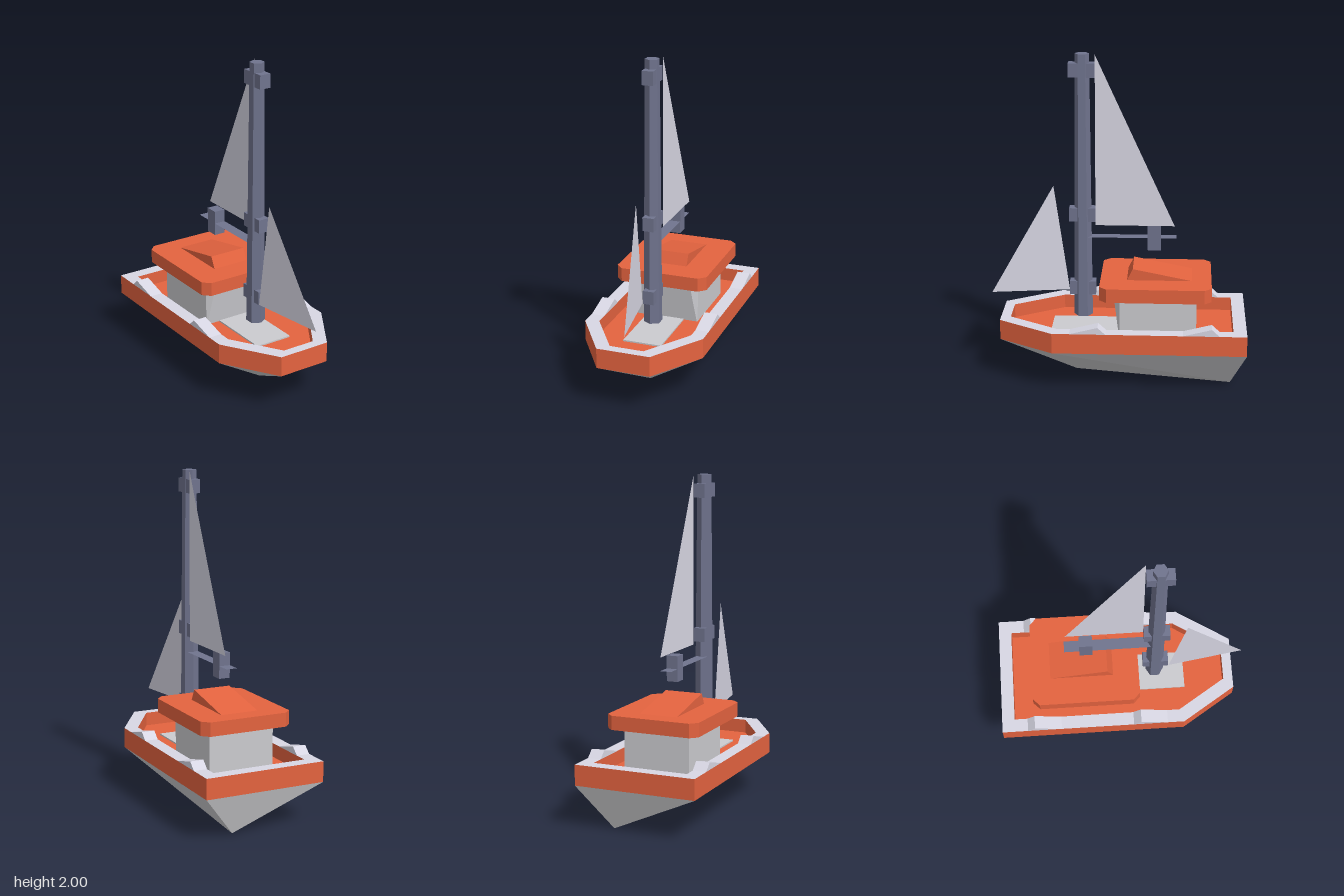
import * as THREE from 'three';
import { ConvexGeometry } from 'three/addons/geometries/ConvexGeometry.js';

const mat = (name, color) => new THREE.MeshStandardMaterial({ name, color, flatShading: true });

// Outline given as [x, z] pairs; z is negated so the extrusion can be laid flat.
const plan = (pts) => new THREE.Shape(pts.map(([x, z]) => new THREE.Vector2(x, -z)));

// Right half of an outline, mirrored into a full closed one.
const mirror = (half) => [...half, ...half.map(([x, z]) => [-x, z]).reverse()];

// Slab standing on y0.
function slab(shape, y0, y1) {
  const g = new THREE.ExtrudeGeometry(shape, { depth: y1 - y0, bevelEnabled: false });
  return g.rotateX(-Math.PI / 2).translate(0, y0, 0);
}

// Prism with a [z, y] profile, centred on x and running across the boat.
function prism(profile, width, x = 0) {
  const s = new THREE.Shape(profile.map(([z, y]) => new THREE.Vector2(z, y)));
  const g = new THREE.ExtrudeGeometry(s, { depth: width, bevelEnabled: false });
  return g.rotateY(-Math.PI / 2).translate(x + width / 2, 0, 0);
}

// Box from its limits.
function box(x0, x1, y0, y1, z0, z1) {
  return new THREE.BoxGeometry(x1 - x0, y1 - y0, z1 - z0)
    .translate((x0 + x1) / 2, (y0 + y1) / 2, (z0 + z1) / 2);
}

function triangle(a, b, c) {
  const g = new THREE.BufferGeometry();
  g.setAttribute('position', new THREE.Float32BufferAttribute([...a, ...b, ...c], 3));
  g.computeVertexNormals();
  return g;
}

export function createModel() {
  const boat = new THREE.Group();
  boat.name = 'sailboat';

  const orange = mat('orange paint', 0xe4633f);
  const trim = mat('pale trim', 0xd8d7e4);
  const grey = mat('cabin grey', 0xcbcbcf);
  const hullGrey = mat('hull grey', 0xd0d0d2);
  const slate = mat('slate mast', 0x70748e);
  const cloth = mat('sail cloth', 0xd8d7e4);
  slate.side = cloth.side = THREE.DoubleSide;

  const add = (name, geometry, material) => {
    const m = new THREE.Mesh(geometry, material);
    m.name = name;
    boat.add(m);
  };

  const outer = mirror([[0.377, -0.78], [0.377, 0.385], [0.165, 0.72]]);
  const inner = mirror([[0.295, -0.7], [0.295, 0.36], [0.105, 0.66]]);

  // Lower hull: gunwale outline drawn down to a skewed keel line
  const hullPts = outer.map(([x, z]) => new THREE.Vector3(x, 0.255, z));
  hullPts.push(new THREE.Vector3(0, 0, 0.265), new THREE.Vector3(0.17, 0, -0.69));
  add('lowerHull', new ConvexGeometry(hullPts), hullGrey);

  // Bulwark: pale top edge, painted sides; the hole winds the other way
  const rim = plan(outer);
  rim.holes.push(plan([...inner].reverse()));
  add('bulwark', slab(rim, 0.255, 0.38), [trim, orange]);

  // Deck and its pale foredeck panel
  add('deck', slab(plan(inner), 0.26, 0.295), orange);
  add('foredeckPanel', box(-0.12, 0.12, 0.296, 0.305, 0, 0.41), grey);

  // Wedge-shaped cleats on both rails
  for (const side of [1, -1]) {
    for (const z of [0.11, -0.57]) {
      add('railCleat', prism([[z + 0.17, 0.38], [z, 0.423], [z - 0.047, 0.38]], 0.083, side * 0.3355), trim);
    }
  }

  // Cabin with chamfered front corners and a front that leans forward
  const cabinPts = [];
  for (const x of [1, -1]) {
    for (const [y, fx, fz] of [[0.285, 0.205, -0.012], [0.56, 0.165, 0.025]]) {
      cabinPts.push(
        new THREE.Vector3(x * 0.208, y, -0.478),
        new THREE.Vector3(x * 0.208, y, -0.015),
        new THREE.Vector3(x * fx, y, fz),
      );
    }
  }
  add('cabin', new ConvexGeometry(cabinPts), grey);

  // Roof with cut corners, and the wedge hatch on it
  const roof = mirror([[0.247, -0.567], [0.29, -0.524], [0.29, 0.064], [0.247, 0.107]]);
  add('cabinRoof', slab(plan(roof), 0.55, 0.635), orange);
  add('roofHatch', prism([[-0.055, 0.635], [-0.09, 0.706], [-0.45, 0.635]], 0.238), orange);

  // Six-sided tapered mast with cross blocks
  add('mast', new THREE.CylinderGeometry(0.043, 0.057, 1.63, 6).translate(0, 1.185, 0.218), slate);
  for (const y of [0.55, 1.018, 1.903]) {
    add('mastBlock', box(-0.035, 0.035, y - 0.042, y + 0.042, 0.14, 0.3), slate);
  }

  // Flat boom passing through the middle of its block
  add('boom', new THREE.PlaneGeometry(0.07, 0.545).rotateX(-Math.PI / 2).translate(0, 0.877, -0.0775), slate);
  add('boomBlock', box(-0.035, 0.035, 0.8, 0.955, -0.257, -0.175), slate);

  // Sails: the main hangs beside the boom, the fore sail is twisted
  add('mainSail', triangle([0.037, 2, 0.14], [0.037, 0.956, 0.14], [0.037, 0.956, -0.34]), cloth);
  add('foreSail', triangle([-0.035, 1.18, 0.4], [0.035, 0.513, 0.78], [-0.035, 0.513, 0.305]), cloth);

  return boat;
}
